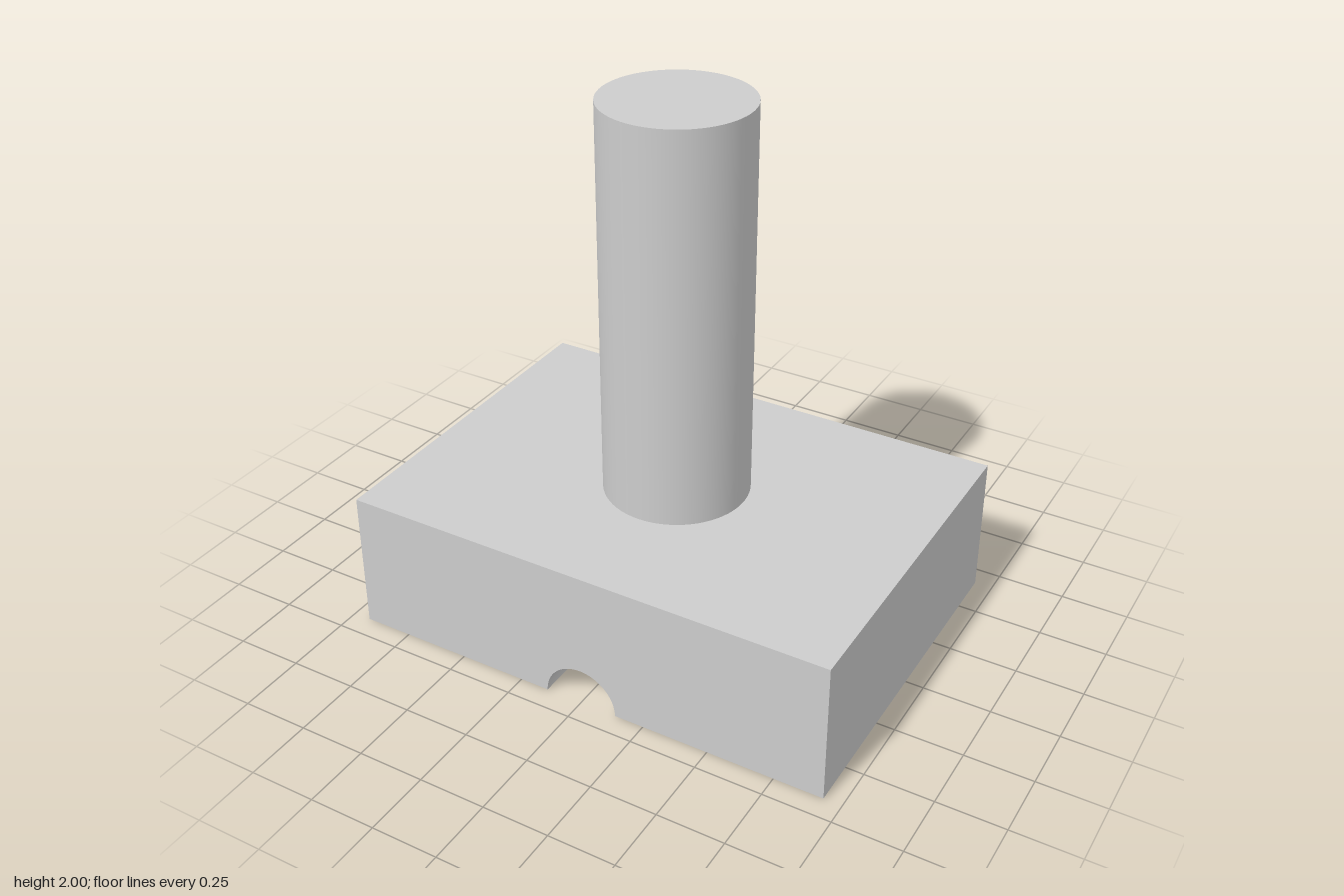
import * as THREE from 'three';
import { ParametricGeometry } from 'three/addons/geometries/ParametricGeometry.js';

const W = 0.933, D = 0.667, H = 0.533; // block half width, half depth, height
const R = 0.139;                       // groove and bore radius
const SHAFT_R = 0.267, TOP = 2;

export function createModel() {
  const model = new THREE.Group();
  const grey = new THREE.MeshStandardMaterial({ color: 0xcccccc });
  grey.name = 'grey';

  const add = (name, geometry, parent = model) => {
    const mesh = new THREE.Mesh(geometry, grey);
    mesh.name = name;
    parent.add(mesh);
    return mesh;
  };

  // Block: built as two mirrored halves plus the flat top
  const block = new THREE.Group();
  block.name = 'block';
  model.add(block);

  const profile = new THREE.Shape();
  profile.moveTo(R, 0);
  profile.lineTo(W, 0);
  profile.lineTo(W, H);
  profile.lineTo(-W, H);
  profile.lineTo(-W, 0);
  profile.lineTo(-R, 0);
  profile.absarc(0, 0, R, Math.PI, 0, true);

  for (const [side, turn] of [['front', 0], ['back', Math.PI]]) {
    const half = new THREE.Group();
    half.name = side + 'Half';
    half.rotation.y = turn;
    block.add(half);

    add('endFace', new THREE.ShapeGeometry(profile, 32).translate(0, 0, D), half);
    add('sideFace', new THREE.PlaneGeometry(2 * D, H).rotateY(Math.PI / 2).translate(W, H / 2, 0), half);
    add('underside', new THREE.PlaneGeometry(W - R, 2 * D).rotateX(Math.PI / 2).translate((W + R) / 2, 0, 0), half);

    // Groove wall, ending where it meets the vertical bore
    add('groove', new ParametricGeometry((u, v, p) => {
      const a = Math.PI * (1 - u), y = R * Math.sin(a);
      p.set(R * Math.cos(a), y, y + (D - y) * v);
    }, 32, 1), half);
  }
  add('topFace', new THREE.PlaneGeometry(2 * W, 2 * D).rotateX(-Math.PI / 2).translate(0, H, 0), block);

  // Blind bore rising from the groove
  add('bore', new ParametricGeometry((u, v, p) => {
    const a = 2 * Math.PI * u, y = R * Math.abs(Math.sin(a));
    p.set(R * Math.cos(a), y + (H - y) * v, R * Math.sin(a));
  }, 64, 1));
  add('boreEnd', new THREE.CircleGeometry(R, 64).rotateX(Math.PI / 2).translate(0, H - 0.002, 0));

  // Shaft standing on the block
  add('shaft', new THREE.CylinderGeometry(SHAFT_R, SHAFT_R, TOP - H, 64).translate(0, (TOP + H) / 2, 0));

  return model;
}
